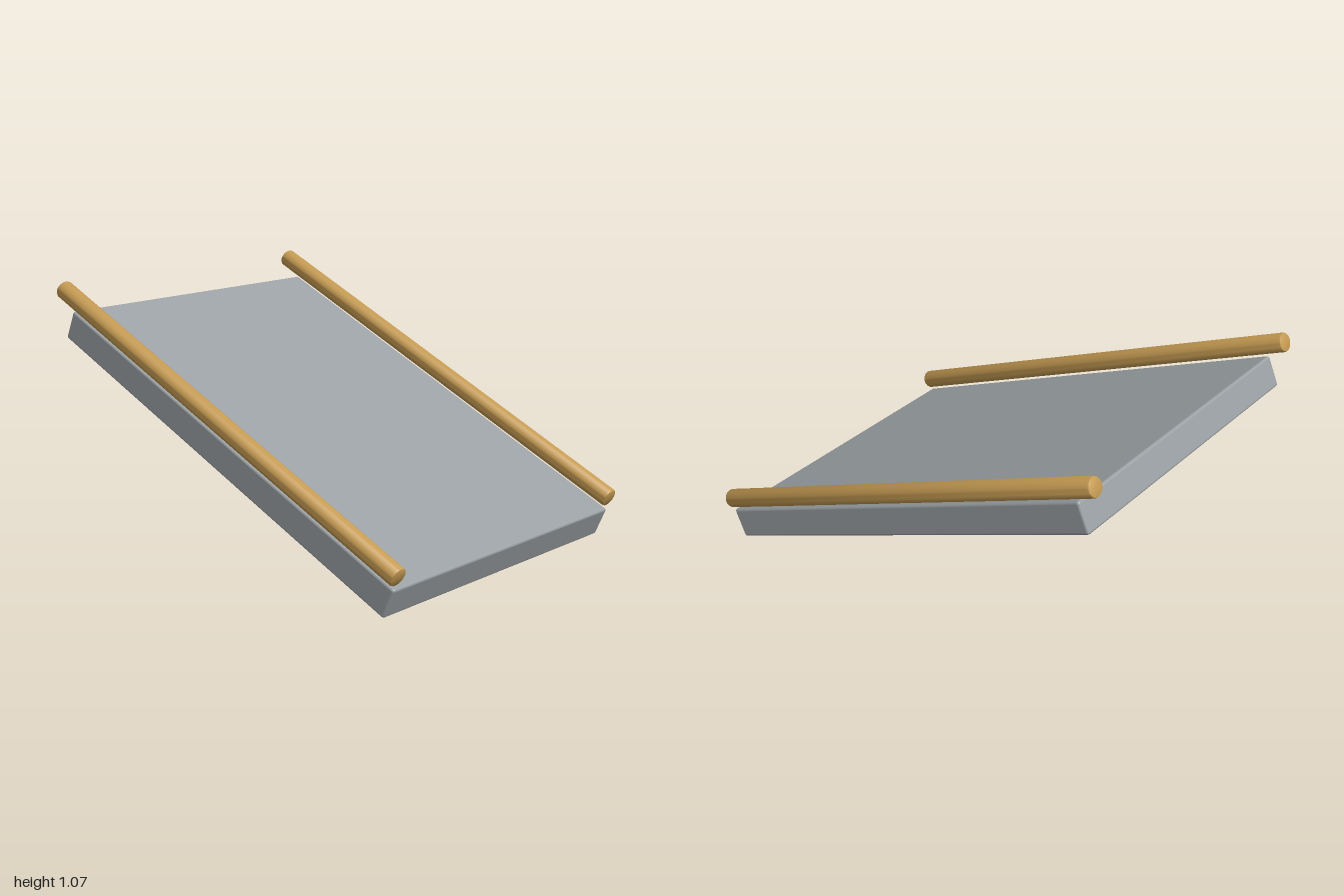
import * as THREE from 'three';
import { toCreasedNormals } from 'three/addons/utils/BufferGeometryUtils.js';
import { RoundedBoxGeometry } from 'three/addons/geometries/RoundedBoxGeometry.js';

const TILT = THREE.MathUtils.degToRad(23.6);

// Round bar along z with softly bevelled ends
function barGeometry(radius, length, bevel) {
  const h = length / 2;
  const profile = [
    [0, -h], [radius - bevel, -h], [radius - bevel * 0.3, -h + bevel * 0.3], [radius, -h + bevel],
    [radius, h - bevel], [radius - bevel * 0.3, h - bevel * 0.3], [radius - bevel, h], [0, h],
  ].map(([x, y]) => new THREE.Vector2(x, y));
  const geometry = new THREE.LatheGeometry(profile, 32);
  geometry.rotateX(Math.PI / 2);
  return toCreasedNormals(geometry, THREE.MathUtils.degToRad(35));
}

export function createModel() {
  const stone = new THREE.MeshStandardMaterial({ color: 0x9aa0a3 });
  stone.name = 'grey slab';
  const wood = new THREE.MeshStandardMaterial({ color: 0xc49a52 });
  wood.name = 'golden wood';

  const model = new THREE.Group();
  model.name = 'ramp';

  // Sloping slab, low at the front
  const slab = new THREE.Mesh(new RoundedBoxGeometry(1.406, 0.138, 2.058, 3, 0.012), stone);
  slab.name = 'slab';
  slab.position.y = 0.477;
  slab.rotation.x = TILT;
  model.add(slab);

  // Side rails, parallel to the slab and just above it
  const railGeometry = barGeometry(0.0415, 2.15, 0.009);
  for (const side of [-1, 1]) {
    const rail = new THREE.Mesh(railGeometry, wood);
    rail.name = side > 0 ? 'leftRail' : 'rightRail';
    rail.position.set(side * 0.695, 0.611, 0);
    rail.rotation.x = TILT;
    model.add(rail);
  }
  return model;
}
